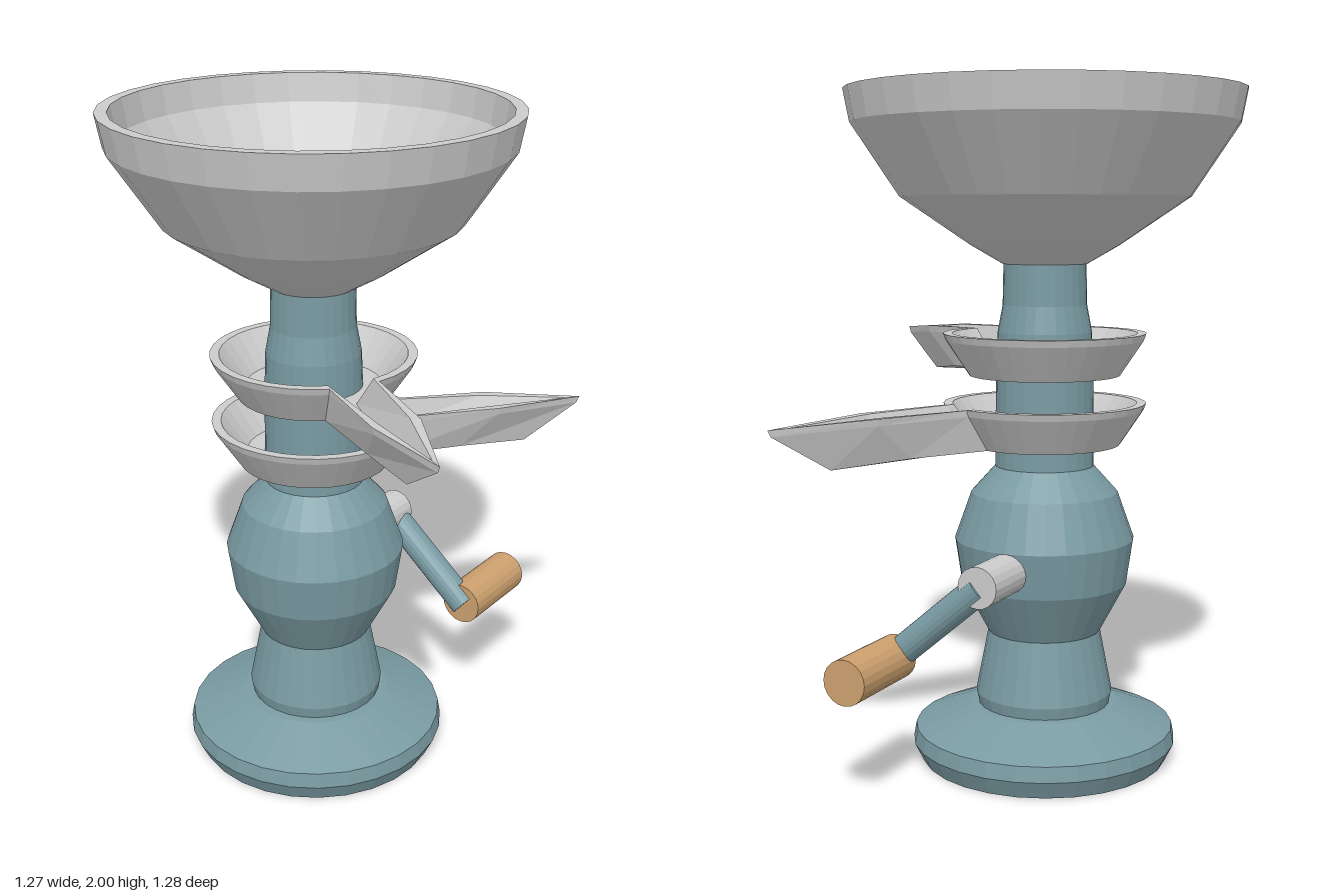
import * as THREE from 'three';

const grey = new THREE.MeshStandardMaterial({ color: 0xcccccc, flatShading: true, side: THREE.DoubleSide });
const teal = new THREE.MeshStandardMaterial({ color: 0x7a9ba3, flatShading: true });
const wood = new THREE.MeshStandardMaterial({ color: 0xcca06e, flatShading: true });
const AXIS = -0.055; // x and z of the upright axis

function add(parent, name, geometry, material) {
  const mesh = new THREE.Mesh(geometry, material);
  mesh.name = name;
  parent.add(mesh);
  return mesh;
}

const lathe = (points, sides) =>
  new THREE.LatheGeometry(points.map(([r, y]) => new THREE.Vector2(r, y)), sides);

// Round bar between two points
function rod(parent, name, a, b, radius, material, sides = 20) {
  const from = new THREE.Vector3(...a), to = new THREE.Vector3(...b);
  const dir = to.clone().sub(from);
  const mesh = add(parent, name, new THREE.CylinderGeometry(radius, radius, dir.length(), sides), material);
  mesh.position.copy(from).add(to).multiplyScalar(0.5);
  mesh.quaternion.setFromUnitVectors(new THREE.Vector3(0, 1, 0), dir.normalize());
  return mesh;
}

// Shallow dish drawn out into a tapering pouring spout along +x.
// Each level: circle radius, height, spout middle distance and half width, tip distance, tip drop.
function dishGeometry(reach) {
  const levels = [
    [0.13, 0, 0.13, 0.01, 0.13, 0],
    [0.225, 0, 0.45, 0.035, reach - 0.18, 0.03],
    [0.295, 0.105, 0.56, 0.066, reach - 0.01, 0.03],
    [0.302, 0.125, 0.56, 0.07, reach, 0.03],
    [0.275, 0.125, 0.54, 0.046, reach - 0.04, 0.03],
    [0.2, 0.025, 0.45, 0.015, reach - 0.2, 0.025],
    [0.13, 0.025, 0.13, 0.01, 0.13, 0],
  ];
  const arcSteps = 30, gap = 0.25, count = arcSteps + 4;
  const positions = [], index = [];
  for (const [r, y, mid, width, tip, drop] of levels) {
    for (let i = 0; i <= arcSteps; i++) {
      const a = gap + (i / arcSteps) * (2 * Math.PI - 2 * gap);
      positions.push(r * Math.cos(a), y, r * Math.sin(a));
    }
    positions.push(mid, y - drop * 0.3, -width, tip, y - drop, 0, mid, y - drop * 0.3, width);
  }
  for (let k = 0; k < levels.length - 1; k++) {
    for (let i = 0; i < count; i++) {
      const a = k * count + i, b = k * count + (i + 1) % count;
      index.push(a, a + count, b, b, a + count, b + count);
    }
  }
  const geometry = new THREE.BufferGeometry();
  geometry.setAttribute('position', new THREE.Float32BufferAttribute(positions, 3));
  geometry.setIndex(index);
  geometry.computeVertexNormals();
  return geometry;
}

export function createModel() {
  const model = new THREE.Group();
  model.name = 'handMill';

  // Turned pedestal, bulb and neck
  const body = add(model, 'body', lathe([
    [0, 0], [0.373, 0], [0.4, 0.055], [0.392, 0.1], [0.225, 0.168], [0.2, 0.17],
    [0.207, 0.205], [0.17, 0.395], [0.25, 0.545], [0.27, 0.68], [0.22, 0.82],
    [0.148, 0.9], [0.145, 1.17], [0.14, 1.3], [0.125, 1.38], [0.122, 1.52], [0, 1.52],
  ], 28), teal);
  body.position.set(AXIS, 0, AXIS);

  // Open hopper with a wall thickness
  const hopper = add(model, 'hopper', lathe([
    [0, 1.5], [0.125, 1.5], [0.22, 1.555], [0.427, 1.695], [0.567, 1.905], [0.585, 2],
    [0.55, 2], [0.535, 1.915], [0.397, 1.71], [0.182, 1.57], [0.107, 1.53], [0, 1.53],
  ], 32), grey);
  hopper.position.set(AXIS, 0, AXIS);

  // Two dishes with spouts pointing to different sides
  const dishes = [
    ['lowerDish', 0.965, 0.857, 37],
    ['upperDish', 1.172, 0.805, 120],
  ];
  for (const [name, y, reach, degrees] of dishes) {
    const dish = add(model, name, dishGeometry(reach), grey);
    dish.position.set(AXIS, y, AXIS);
    dish.rotation.y = -THREE.MathUtils.degToRad(degrees);
  }

  // Crank: axle, slanting arm and wooden grip
  const crank = new THREE.Group();
  crank.name = 'crank';
  model.add(crank);
  rod(crank, 'axle', [0.1, 0.62, AXIS], [0.388, 0.62, AXIS], 0.06, grey);
  rod(crank, 'crankArm', [0.353, 0.615, -0.05], [0.353, 0.37, 0.24], 0.044, teal);
  rod(crank, 'grip', [0.34, 0.375, 0.235], [0.62, 0.375, 0.235], 0.066, wood);

  return model;
}
